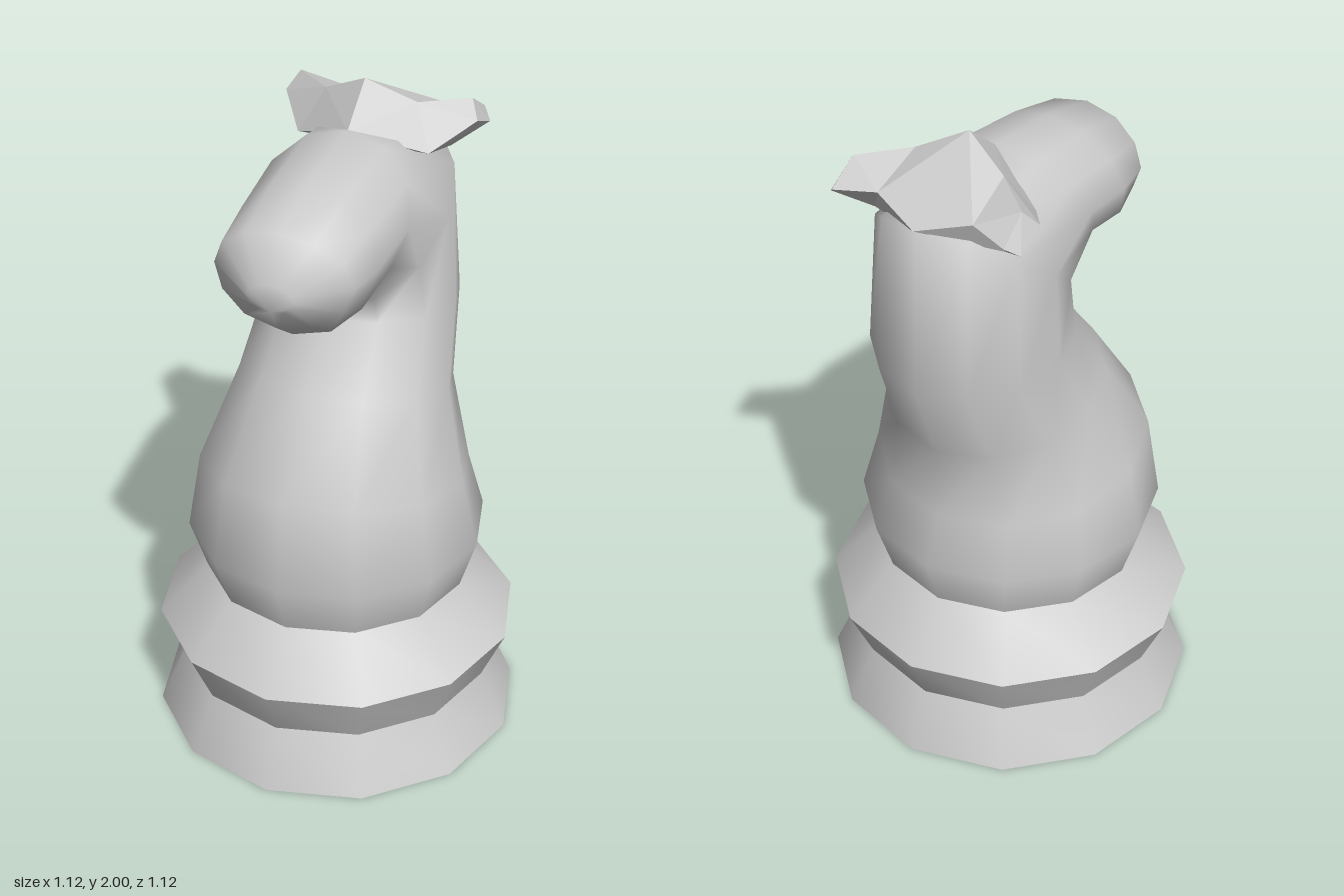
import * as THREE from 'three';
import { toCreasedNormals } from 'three/addons/utils/BufferGeometryUtils.js';
import { ConvexGeometry } from 'three/addons/geometries/ConvexGeometry.js';

const SIDES = 12;
const material = new THREE.MeshStandardMaterial({ color: 0xcccccc });

function addMesh(group, name, geometry) {
  const mesh = new THREE.Mesh(geometry, material);
  mesh.name = name;
  group.add(mesh);
}

// Skin of tilted elliptical rings: [front z, front y, back z, back y, half width, bow of the sides]
function loft(rings) {
  const pos = [], index = [];
  for (const [fz, fy, bz, by, w, bow = 0] of rings) {
    for (let j = 0; j < SIDES; j++) {
      const t = (j / SIDES) * Math.PI * 2, c = Math.cos(t), s = Math.sin(t);
      pos.push(w * s, (fy + by) / 2 + c * (fy - by) / 2, (fz + bz) / 2 + c * (fz - bz) / 2 - bow * s * s);
    }
  }
  for (let i = 0; i < rings.length - 1; i++) {
    for (let j = 0; j < SIDES; j++) {
      const k = (j + 1) % SIDES, a = i * SIDES + j, b = i * SIDES + k;
      index.push(a, b, b + SIDES, a, b + SIDES, a + SIDES);
    }
  }
  // Close the last ring
  const last = (rings.length - 1) * SIDES;
  for (let j = 1; j < SIDES - 1; j++) index.push(last, last + j, last + j + 1);
  const geo = new THREE.BufferGeometry();
  geo.setAttribute('position', new THREE.Float32BufferAttribute(pos, 3));
  geo.setIndex(index);
  geo.computeVertexNormals();
  return geo;
}

const hull = (points) => new ConvexGeometry(points.map((p) => new THREE.Vector3(...p)));
const mirror = (points) => points.map(([x, y, z]) => [-x, y, z]);

export function createModel() {
  const group = new THREE.Group();

  // Stepped twelve-sided foot
  const profile = [[0, 0], [0.56, 0], [0.48, 0.18], [0.55, 0.34], [0.4, 0.5], [0, 0.5]];
  const base = new THREE.LatheGeometry(profile.map((p) => new THREE.Vector2(...p)), SIDES);
  addMesh(group, 'base', toCreasedNormals(base, 0.6));

  // Chest, neck and muzzle in one bent skin
  addMesh(group, 'neckAndHead', loft([
    [0.4, 0.5, -0.4, 0.5, 0.4],
    [0.455, 0.66, -0.45, 0.66, 0.45],
    [0.42, 0.94, -0.39, 0.81, 0.405],
    [0.24, 1.2, -0.39, 1.05, 0.32],
    [0.09, 1.38, -0.485, 1.31, 0.29],
    [0.09, 1.42, -0.46, 1.83, 0.265],
    [0.17, 1.49, -0.07, 1.895, 0.235],
    [0.32, 1.45, 0.19, 1.86, 0.22],
    [0.42, 1.52, 0.41, 1.8, 0.205, 0.04],
    [0.46, 1.59, 0.46, 1.67, 0.07],
  ]));

  // Root of each ear, shared with the poll between them
  const root = [[0.14, 1.93, -0.25], [0.15, 1.87, -0.415], [0.21, 1.77, -0.345], [0.2, 1.81, -0.185]];
  const tip = [[0.265, 1.92, -0.36], [0.27, 1.86, -0.455], [0.3, 1.83, -0.42], [0.295, 1.87, -0.32]];

  // Pointed poll sloping back to the nape
  addMesh(group, 'poll', hull([
    [0, 2, -0.2], [0, 1.83, -0.47], [0, 1.89, -0.07], ...root, ...mirror(root),
  ]));

  // Ears
  const ear = [...root, ...tip];
  addMesh(group, 'leftEar', hull(ear));
  addMesh(group, 'rightEar', hull(mirror(ear)));

  return group;
}
